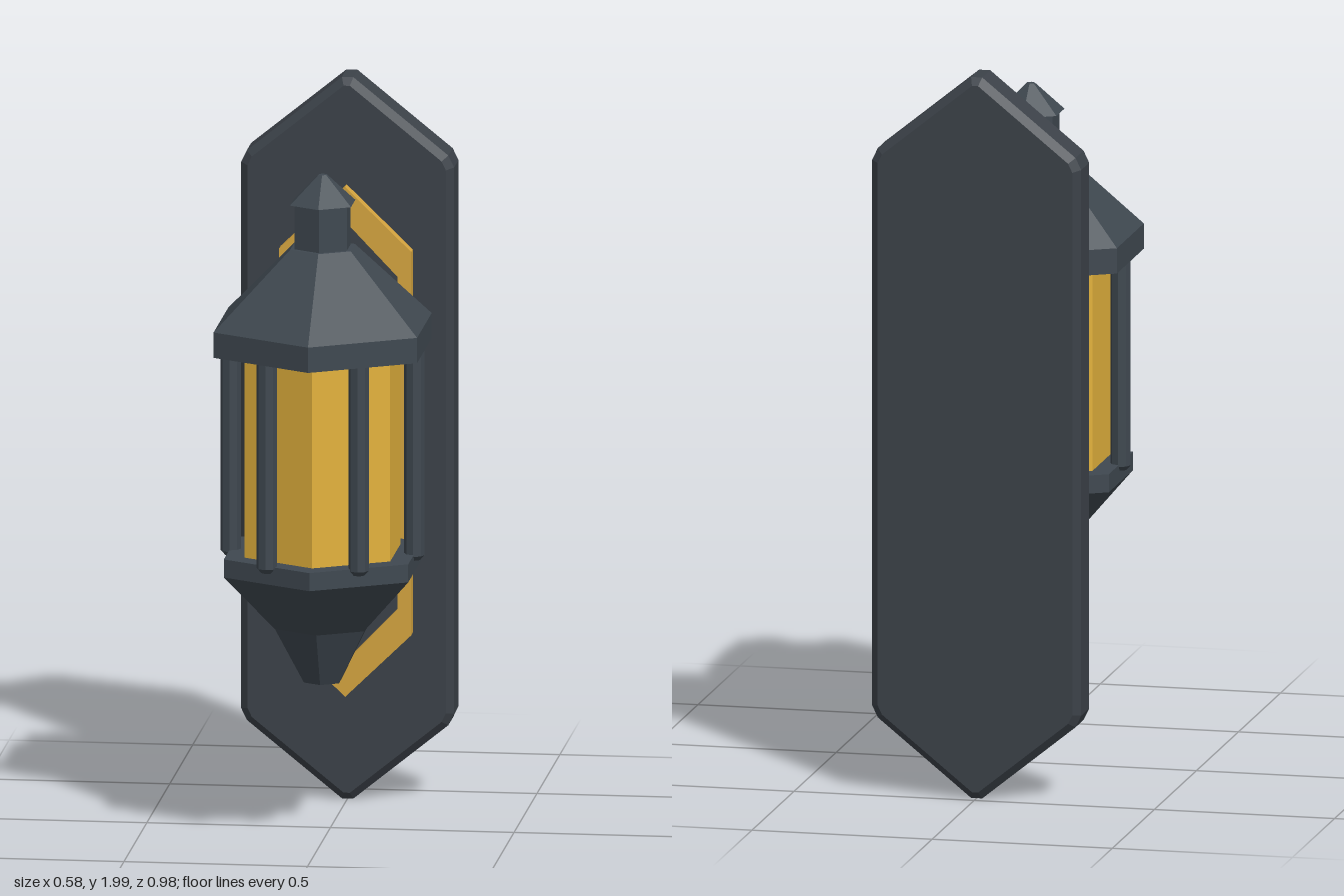
import * as THREE from 'three';

const material = (color) => new THREE.MeshStandardMaterial({ color, flatShading: true });

// Outline of an upright panel with a pointed top and bottom
function pointedPanel(halfWidth, bottom, shoulder) {
  const top = 2 - bottom, upper = 2 - shoulder;
  return [[0, bottom], [halfWidth, shoulder], [halfWidth, upper], [0, top], [-halfWidth, upper], [-halfWidth, shoulder]]
    .map(([x, y]) => new THREE.Vector2(x, y));
}

// Cut every corner of an outline by a distance
function cutCorners(points, cut) {
  return points.flatMap((p, i) => {
    const before = points[(i + points.length - 1) % points.length];
    const after = points[(i + 1) % points.length];
    return [before, after].map((q) => p.clone().add(q.clone().sub(p).setLength(cut)));
  });
}

// Solid of a given depth centred on z = 0, with chamfered front and back edges
function chamferedSolid(points, depth, bevel) {
  const geometry = new THREE.ExtrudeGeometry(new THREE.Shape(points), {
    depth: depth - 2 * bevel, bevelSize: bevel, bevelThickness: bevel,
    bevelOffset: -bevel, bevelSegments: 1,
  });
  return geometry.translate(0, 0, bevel - depth / 2);
}

function chamferedBeam(size, length, bevel) {
  const h = size / 2;
  const square = [[-h, -h], [h, -h], [h, h], [-h, h]].map(([x, y]) => new THREE.Vector2(x, y));
  return chamferedSolid(cutCorners(square, bevel), length, bevel);
}

function turned(profile, sides) {
  return new THREE.LatheGeometry(profile.map(([r, y]) => new THREE.Vector2(r, y)), sides);
}

export function createModel() {
  const model = new THREE.Group();
  const iron = material(0x3f4850);
  const plateIron = material(0x3c4249);
  const gold = material(0xd6a53f);
  const glass = material(0xe3b23c);

  const add = (parent, name, geometry, mat, x = 0, y = 0, z = 0) => {
    const mesh = new THREE.Mesh(geometry, mat);
    mesh.name = name;
    mesh.position.set(x, y, z);
    parent.add(mesh);
    return mesh;
  };

  // Wall plate and the raised gold border on it
  const plateOutline = cutCorners(pointedPanel(0.29, -0.01, 0.225), 0.02);
  add(model, 'wallPlate', chamferedSolid(plateOutline, 0.135, 0.02), plateIron, 0, 0, -0.4225);

  const border = new THREE.Shape(pointedPanel(0.18, 0.295, 0.47));
  border.holes.push(new THREE.Path(pointedPanel(0.143, 0.39, 0.54).reverse()));
  add(model, 'goldBorder', new THREE.ExtrudeGeometry(border, { depth: 0.04, bevelEnabled: false }), gold, 0, 0, -0.36);

  // Bracket: level arm and diagonal brace
  add(model, 'arm', chamferedBeam(0.165, 0.35, 0.025), plateIron, 0, 1.25, -0.185);
  const low = new THREE.Vector3(0, 0.79, -0.31), high = new THREE.Vector3(0, 1.22, -0.055);
  const brace = add(model, 'brace', chamferedBeam(0.072, low.distanceTo(high), 0.014), plateIron);
  brace.position.copy(low).lerp(high, 0.5);
  brace.lookAt(high);

  // Six-sided lantern
  const lantern = new THREE.Group();
  lantern.name = 'lantern';
  lantern.position.z = 0.17;
  model.add(lantern);

  add(lantern, 'base', turned([[0, 0.445], [0.055, 0.445], [0.14, 0.6], [0.29, 0.755], [0.29, 0.805], [0, 0.805]], 6), iron);
  add(lantern, 'glass', new THREE.CylinderGeometry(0.229, 0.229, 0.57, 6), glass, 0, 1.085, 0);
  add(lantern, 'roof', turned([[0, 1.365], [0.32, 1.365], [0.32, 1.435], [0.095, 1.645], [0, 1.645]], 6), iron);
  add(lantern, 'chimney', new THREE.CylinderGeometry(0.082, 0.082, 0.14, 6), iron, 0, 1.705, 0);
  add(lantern, 'chimneyCap', turned([[0, 1.767], [0.096, 1.767], [0.012, 1.845], [0, 1.845]], 6), iron);

  // One bar in front of the middle of each pane
  const bar = turned([[0, 0.787], [0.016, 0.787], [0.028, 0.8], [0.028, 1.37], [0, 1.37]], 8);
  for (let i = 0; i < 6; i++) {
    const a = (i + 0.5) * Math.PI / 3;
    add(lantern, 'bar', bar, iron, 0.25 * Math.sin(a), 0, 0.25 * Math.cos(a));
  }
  return model;
}
